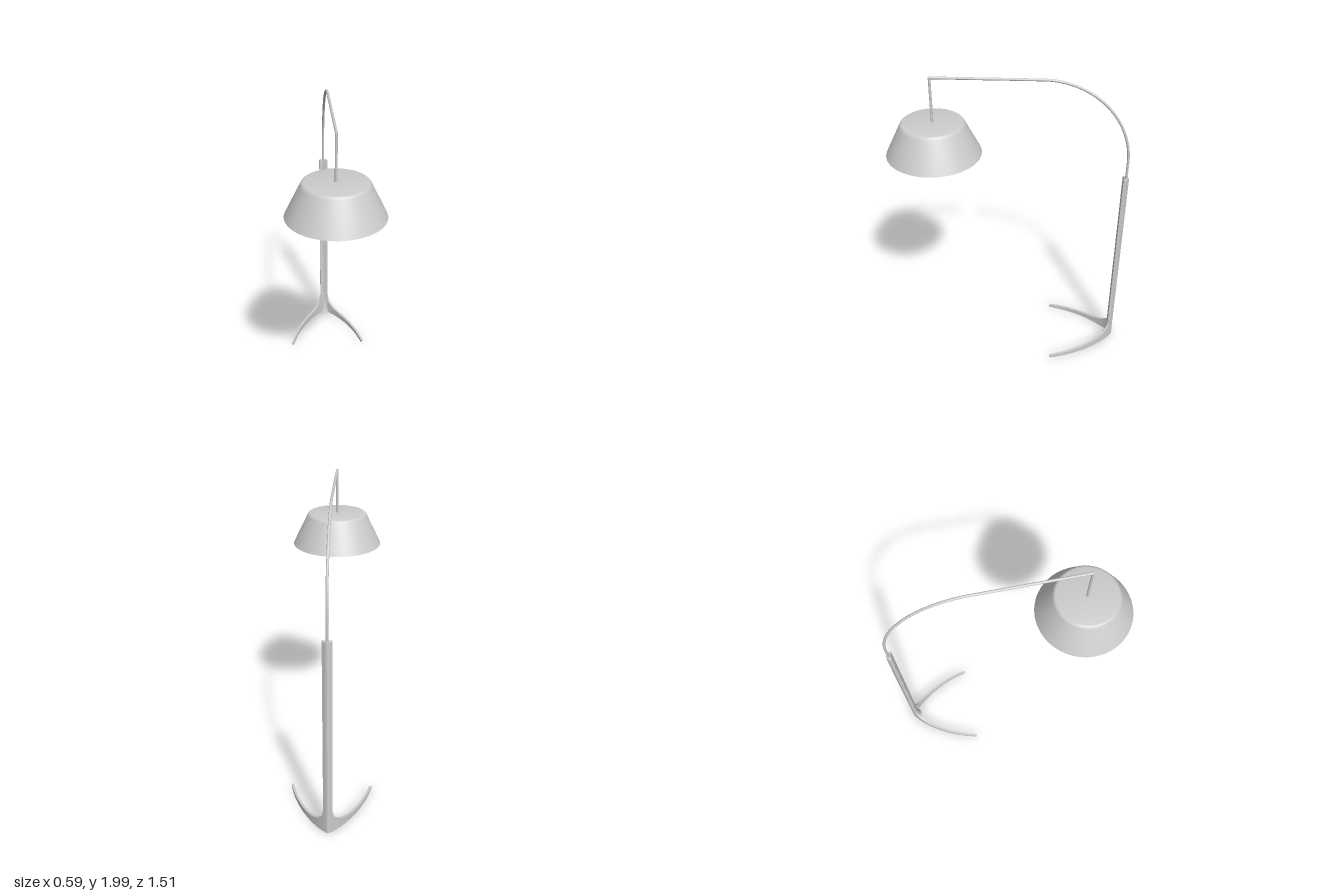
import * as THREE from 'three';
import { toCreasedNormals } from 'three/addons/utils/BufferGeometryUtils.js';

const metal = new THREE.MeshStandardMaterial({ color: 0xcccccc, side: THREE.DoubleSide });
metal.name = 'light grey';

const POLE_Z = -0.737, SHADE_Z = 0.46, TOP_Y = 1.992, POLE_R = 0.008;

function part(name, geometry) {
  const mesh = new THREE.Mesh(geometry, metal);
  mesh.name = name;
  return mesh;
}

// Two bowed legs as one upright band, swept from tip to tip round the back corner
function legsGeometry() {
  const half = new THREE.CatmullRomCurve3([
    [0, 0.22, -0.755], [0.029, 0.165, -0.737], [0.042, 0.11, -0.726], [0.07, 0.073, -0.7],
    [0.12, 0.047, -0.64], [0.17, 0.037, -0.565], [0.22, 0.029, -0.465],
    [0.25, 0.024, -0.385], [0.272, 0.018, -0.305],
  ].map((p) => new THREE.Vector3(...p)), false, 'centripetal');
  const n = 48, thick = 0.016;
  const sections = [];
  for (let i = -n; i <= n; i++) {
    const t = Math.abs(i) / n, side = Math.sign(i);
    const p = half.getPoint(t), d = half.getTangent(t);
    const len = Math.hypot(d.x, d.z);
    const ix = Math.max(0, p.x - (d.z / len) * thick);
    const iz = p.z + (d.x / len) * thick;
    const h = Math.max(p.y, 0.018);
    sections.push([
      [side * p.x, 0, p.z], [side * p.x, h, p.z],
      [side * ix, h, iz], [side * ix, 0, iz],
    ]);
  }
  const index = [];
  for (let i = 0; i < 2 * n; i++) {
    for (let k = 0; k < 4; k++) {
      const a = i * 4 + k, d = i * 4 + (k + 1) % 4;
      index.push(a, d, d + 4, a, d + 4, a + 4);
    }
  }
  const e = 8 * n;
  index.push(0, 2, 1, 0, 3, 2, e, e + 1, e + 2, e, e + 2, e + 3);
  const g = new THREE.BufferGeometry();
  g.setAttribute('position', new THREE.Float32BufferAttribute(sections.flat(2), 3));
  g.setIndex(index);
  return toCreasedNormals(g, 0.6);
}

// Upright column: pointed at the back, shallow groove at the front
function columnGeometry() {
  const shape = new THREE.Shape([
    [0, 0.755], [-0.01, 0.751], [-0.029, 0.737], [-0.029, 0.718], [-0.012, 0.722],
    [0, 0.727], [0.012, 0.722], [0.029, 0.718], [0.029, 0.737], [0.01, 0.751],
  ].map((p) => new THREE.Vector2(...p)));
  const g = new THREE.ExtrudeGeometry(shape, { depth: 1.335, bevelEnabled: false });
  return g.rotateX(-Math.PI / 2);
}

// Pole that rises, bends through a quarter circle and runs forward
function armGeometry() {
  const r = 0.537, axisY = TOP_Y - POLE_R, cy = axisY - r, cz = POLE_Z + r;
  const v = (y, z) => new THREE.Vector3(0, y, z);
  const k = 0.5523 * r;
  const path = new THREE.CurvePath();
  path.add(new THREE.LineCurve3(v(1.3, POLE_Z), v(cy, POLE_Z)));
  path.add(new THREE.CubicBezierCurve3(
    v(cy, POLE_Z), v(cy + k, POLE_Z), v(axisY, cz - k), v(axisY, cz)));
  path.add(new THREE.LineCurve3(v(axisY, cz), v(axisY, SHADE_Z)));
  return new THREE.TubeGeometry(path, 96, POLE_R, 14, false);
}

// Closed shade shell: outside, rim, then inside
function shadeGeometry() {
  const profile = [
    [0, 1.7], [0.18, 1.7], [0.188, 1.698], [0.195, 1.692], [0.201, 1.682], [0.295, 1.49],
    [0.288, 1.49], [0.195, 1.68], [0.186, 1.688], [0, 1.688],
  ].map((p) => new THREE.Vector2(...p)).reverse();
  return toCreasedNormals(new THREE.LatheGeometry(profile, 72), 0.6);
}

export function createModel() {
  const model = new THREE.Group();
  model.name = 'arcFloorLamp';

  model.add(part('legs', legsGeometry()));
  model.add(part('column', columnGeometry()));

  // Concave web filling the corner between the legs
  const webProfile = [[0.042, 0], [0.03, 0.03], [0.022, 0.07], [0.016, 0.12], [0.01, 0.18]]
    .map((p) => new THREE.Vector2(...p));
  const web = part('cornerWeb', new THREE.LatheGeometry(webProfile, 12, -Math.PI / 3, 2 * Math.PI / 3));
  web.position.z = POLE_Z + 0.002;
  model.add(web);

  model.add(part('arm', armGeometry()));

  // Drop rod and its corner joint
  const rodTop = TOP_Y - POLE_R;
  const rod = part('dropRod', new THREE.CylinderGeometry(POLE_R, POLE_R, rodTop - 1.69, 14));
  rod.position.set(0, (rodTop + 1.69) / 2, SHADE_Z);
  const joint = part('rodJoint', new THREE.SphereGeometry(POLE_R, 14, 10));
  joint.position.set(0, rodTop, SHADE_Z);
  model.add(rod, joint);

  const shade = part('shade', shadeGeometry());
  shade.position.z = SHADE_Z;
  model.add(shade);

  // Small lamp holder under the shade top
  const holder = part('lampHolder', new THREE.CylinderGeometry(0.015, 0.015, 0.03, 20));
  holder.position.set(0, 1.675, SHADE_Z);
  model.add(holder);

  return model;
}
